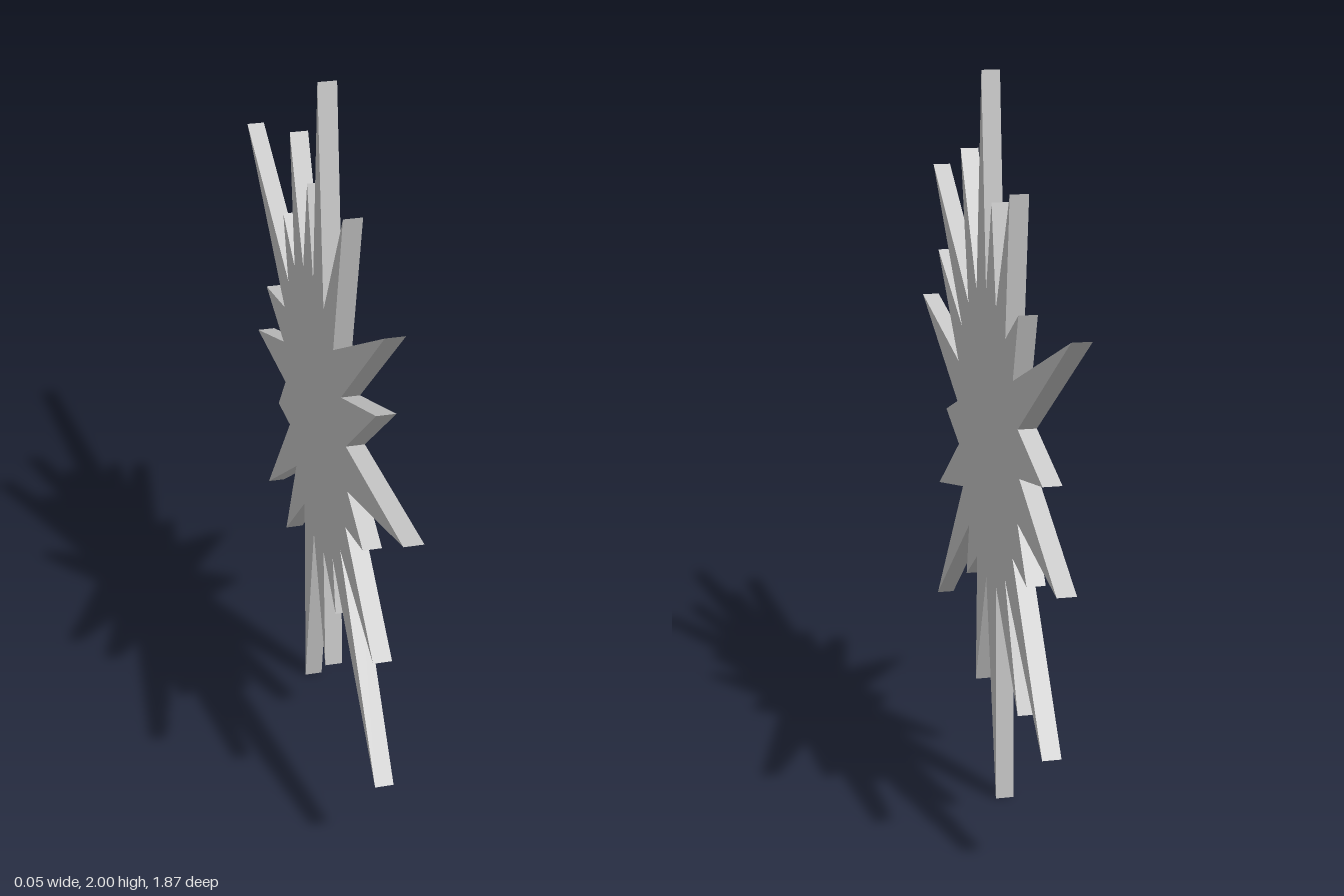
import * as THREE from 'three';

const THICKNESS = 0.05;
const HUB = { z: -0.02, y: 1.017, radius: 0.403 };

// Spike tips as [z, y], going round from the front upwards
const TIPS = [
  [0.937, 1.224], [0.667, 1.414], [0.735, 1.66], [0.318, 1.76], [0.036, 2.0],
  [-0.09, 1.67], [-0.306, 1.723], [-0.407, 1.436], [-0.935, 1.485], [-0.673, 1.07],
  [-0.823, 0.84], [-0.51, 0.757], [-0.69, 0.36], [-0.416, 0.365], [-0.146, 0.0],
  [0.128, 0.25], [0.256, 0.53], [0.72, 0.305], [0.677, 0.683], [0.555, 0.95],
];

export function createModel() {
  const group = new THREE.Group();
  group.name = 'spikyBurst';

  // Outline: evenly spaced valleys on the hub circle, one uneven spike after each
  const outline = [];
  TIPS.forEach(([z, y], i) => {
    const angle = (i / TIPS.length) * Math.PI * 2;
    outline.push(new THREE.Vector2(
      HUB.z + HUB.radius * Math.cos(angle),
      HUB.y + HUB.radius * Math.sin(angle),
    ));
    outline.push(new THREE.Vector2(z, y));
  });

  // Flat plate, turned so that its faces look along x
  const geometry = new THREE.ExtrudeGeometry(new THREE.Shape(outline), {
    depth: THICKNESS,
    bevelEnabled: false,
  });
  geometry.translate(0, 0, -THICKNESS / 2);
  geometry.rotateY(-Math.PI / 2);

  const material = new THREE.MeshStandardMaterial({ color: 0xcccccc, flatShading: true });
  const burst = new THREE.Mesh(geometry, material);
  burst.name = 'burstPlate';
  group.add(burst);
  return group;
}
